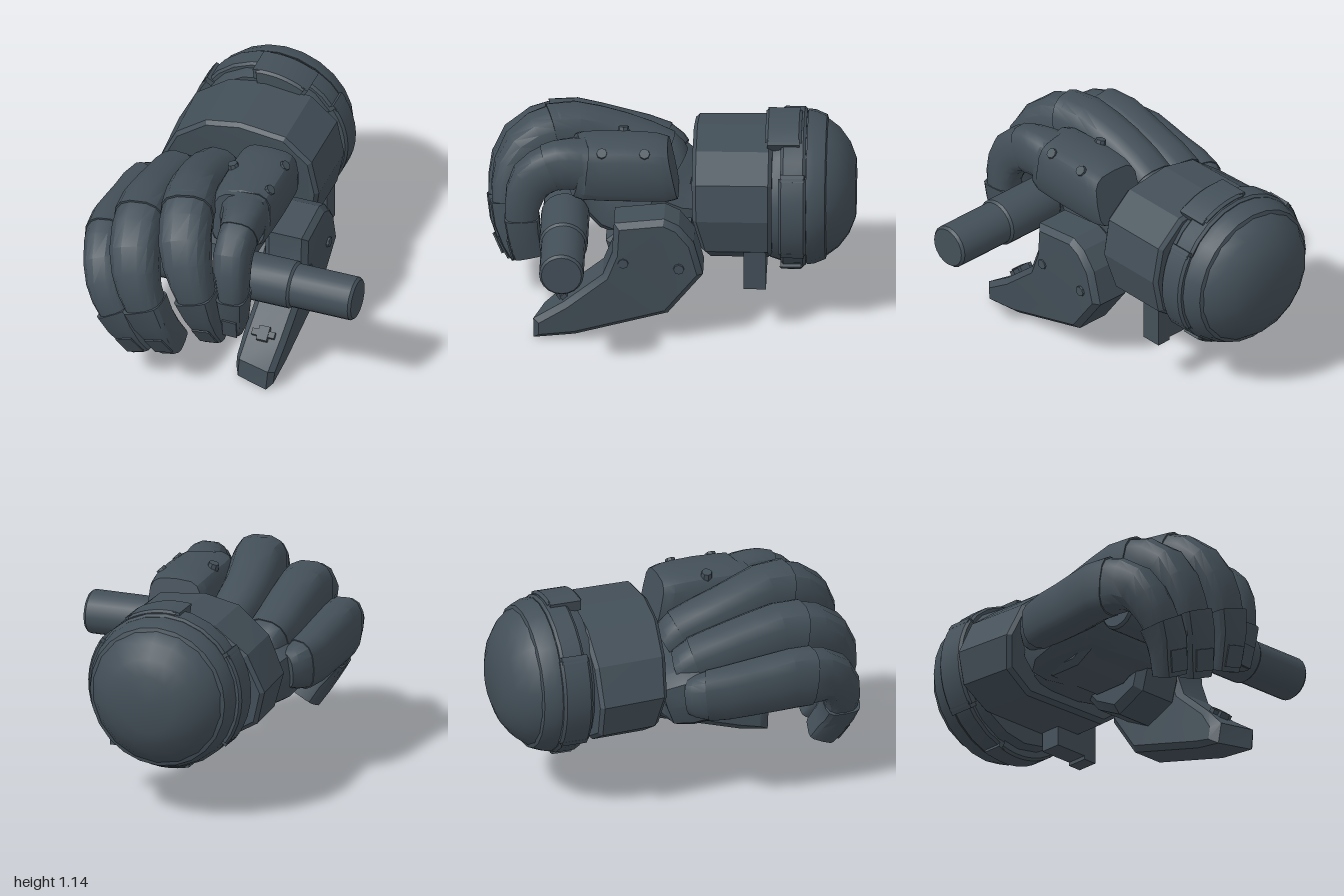
import * as THREE from 'three';
import { toCreasedNormals } from 'three/addons/utils/BufferGeometryUtils.js';

const steel = new THREE.MeshStandardMaterial({ color: 0x434f58 });
steel.name = 'dark slate armour';

function add(parent, name, geo, crease = 0.6) {
  const m = new THREE.Mesh(toCreasedNormals(geo, crease), steel);
  m.name = name;
  parent.add(m);
  return m;
}

// Frame on a path of stations [x, y, z, halfWidth, halfThickness]
function makePath(st) {
  const line = new THREE.CatmullRomCurve3(st.map(s => new THREE.Vector3(s[0], s[1], s[2])));
  const size = new THREE.CatmullRomCurve3(st.map(s => new THREE.Vector3(s[3], s[4], 0)));
  return u => {
    const c = line.getPoint(u), T = line.getTangent(u), sz = size.getPoint(u);
    const S = new THREE.Vector3(1, 0, 0).addScaledVector(T, -T.x).normalize();
    const N = new THREE.Vector3().crossVectors(T, S);
    return { c, T, S, N, w: sz.x, t: sz.y };
  };
}

// Closed tube of rounded-box cross-sections between two positions on a path
function loft(path, rows, u0 = 0, u1 = 1, grow = 1, power = 0.75, sides = 14) {
  const pos = [], idx = [];
  for (let i = 0; i <= rows; i++) {
    const f = path(u0 + (u1 - u0) * i / rows);
    for (let j = 0; j < sides; j++) {
      const a = j / sides * Math.PI * 2, c = Math.cos(a), s = Math.sin(a);
      const p = f.c.clone()
        .addScaledVector(f.S, f.w * grow * Math.sign(c) * Math.abs(c) ** power)
        .addScaledVector(f.N, f.t * grow * Math.sign(s) * Math.abs(s) ** power);
      pos.push(p.x, p.y, p.z);
    }
  }
  for (let i = 0; i < rows; i++) for (let j = 0; j < sides; j++) {
    const k = (j + 1) % sides, a = i * sides, b = a + sides;
    idx.push(a + j, a + k, b + k, a + j, b + k, b + j);
  }
  const a = path(u0).c, b = path(u1).c, n = pos.length / 3, last = rows * sides;
  pos.push(a.x, a.y, a.z, b.x, b.y, b.z);
  for (let j = 0; j < sides; j++) {
    const k = (j + 1) % sides;
    idx.push(n, k, j, n + 1, last + j, last + k);
  }
  const g = new THREE.BufferGeometry();
  g.setAttribute('position', new THREE.Float32BufferAttribute(pos, 3));
  g.setIndex(idx);
  return g;
}

function extrude(pts, depth, bevel) {
  const shape = new THREE.Shape(pts.map(p => new THREE.Vector2(p[0], p[1])));
  return new THREE.ExtrudeGeometry(shape, {
    depth: depth - 2 * bevel, bevelEnabled: true, bevelSize: bevel,
    bevelThickness: bevel, bevelOffset: -bevel, bevelSegments: 1
  }).translate(0, 0, bevel);
}

// Side profile given as [z, y], swept from x0 to x1
const sideExtrude = (pts, x0, x1, bevel) =>
  extrude(pts, x1 - x0, bevel).rotateY(-Math.PI / 2).translate(x1, 0, 0);

// Move the corners of a geometry by a rule
function warp(geo, rule) {
  const p = geo.attributes.position, v = new THREE.Vector3();
  for (let i = 0; i < p.count; i++) {
    rule(v.fromBufferAttribute(p, i));
    p.setXYZ(i, v.x, v.y, v.z);
  }
  return geo;
}

// Turned profile given as [radius, distance backwards] around the forearm axis, angle 0 at the top
function turned(pts, start = 0, length = Math.PI * 2, segs = 24) {
  const g = new THREE.LatheGeometry(pts.map(p => new THREE.Vector2(p[0], p[1])), segs, start, length);
  return g.rotateX(-Math.PI / 2).translate(-0.17, 0.69, 0);
}

function bolt(parent, x, y, z, dir) {
  const m = add(parent, 'bolt', new THREE.CylinderGeometry(0.028, 0.036, 0.05, 8));
  m.quaternion.setFromUnitVectors(new THREE.Vector3(0, 1, 0), new THREE.Vector3(...dir).normalize());
  m.position.set(x, y, z);
}

const FINGERS = {
  littleFinger: [[-.58, .64, -.02, .09, .1], [-.64, .65, .06, .1, .135], [-.655, .67, .33, .108, .15], [-.66, .69, .60, .108, .16],
    [-.61, .64, .775, .105, .13], [-.54, .50, .85, .1, .1], [-.455, .35, .85, .09, .085], [-.375, .20, .79, .075, .075]],
  ringFinger: [[-.43, .71, -.03, .12, .11], [-.46, .75, .06, .125, .15], [-.465, .82, .33, .128, .16], [-.46, .865, .60, .135, .165],
    [-.42, .79, .80, .135, .14], [-.36, .61, .885, .115, .105], [-.28, .42, .88, .1, .085], [-.2, .245, .80, .075, .075]],
  middleFinger: [[-.23, .77, -.03, .12, .11], [-.24, .82, .05, .125, .15], [-.24, .92, .33, .13, .16], [-.19, .98, .6, .14, .165],
    [-.14, .90, .78, .14, .14], [-.07, .72, .86, .115, .105], [-.01, .53, .85, .09, .085], [.035, .37, .77, .072, .08]],
  indexFinger: [[.06, .92, .3, .14, .14], [.07, .93, .42, .14, .14], [.10, .95, .53, .115, .13], [.115, .94, .62, .1, .13],
    [.12, .86, .74, .1, .12], [.14, .71, .79, .085, .095], [.145, .55, .78, .07, .085], [.14, .42, .75, .055, .08]]
};

export function createModel() {
  const root = new THREE.Group();
  root.name = 'armouredFist';

  // Fingers with a sleeve up to the knuckle, a fingertip sleeve and a nail plate
  for (const [name, stations] of Object.entries(FINGERS)) {
    const finger = new THREE.Group();
    finger.name = name;
    root.add(finger);
    const path = makePath(stations);
    add(finger, 'fingerBody', loft(path, 14));
    add(finger, 'knuckleSleeve', loft(path, 5, 0.14, 0.45, 1.04));
    add(finger, 'fingertipSleeve', loft(path, 3, 0.77, 1, 1.06, 0.5));
    const f = path(0.93);
    const nail = add(finger, 'nailPlate', new THREE.BoxGeometry(f.w * 1.3, 0.009, 0.12));
    nail.quaternion.setFromRotationMatrix(new THREE.Matrix4().makeBasis(f.S, f.N, f.T));
    nail.position.copy(f.c).addScaledVector(f.N, f.t * 1.06 + 0.003);
  }

  // Squared base of the index finger, cut at a slant behind, with its bolts
  add(root, 'indexKnuckleBlock', warp(loft(makePath([[.06, .915, -.02, .15, .15], [.06, .915, .04, .165, .165],
    [.06, .92, .25, .17, .17], [.06, .92, .46, .165, .165], [.07, .93, .51, .145, .15]]), 8, 0, 1, 1, 0.55, 16), v => {
    if (v.z < .1) v.z += (v.y - .92) * .2;
  }), 0.5);
  bolt(root, -.06, 1.07, .25, [-.3, 1, 0]);
  bolt(root, .18, 1.05, .13, [.7, .7, 0]);
  bolt(root, .18, 1.05, .36, [.7, .7, 0]);
  bolt(root, -.62, .62, .12, [-1, 0, 0]);

  // Hand body narrowing into the wrist
  add(root, 'handBody', loft(makePath([[-.2, .58, -.2, .24, .12], [-.2, .58, -.1, .3, .15],
    [-.24, .62, .04, .4, .2], [-.28, .67, .3, .37, .2], [-.28, .74, .44, .34, .12]]), 8, 0, 1, 1, 0.6, 14), 0.5);
  add(root, 'palmPad', sideExtrude([[-.12, .62], [.2, .62], [.34, .5], [.3, .36], [.12, .28], [-.04, .36], [-.14, .48]],
    -.14, .16, .04), 0.4);
  add(root, 'palmPlate', sideExtrude([[-.06, .6], [.28, .6], [.34, .5], [.2, .42], [0, .42]], -.52, -.12, .03), 0.4);

  // Thumb armour, leaning inwards towards a tip that is cut back on its inner side
  const thumb = new THREE.Group();
  thumb.name = 'thumb';
  root.add(thumb);
  add(thumb, 'thumbArmour', warp(sideExtrude([[.29, .72], [.02, .75], [-.06, .71], [-.14, .61], [-.19, .42],
    [0, .17], [.5, .025], [.725, 0], [.725, .12], [.56, .23], [.35, .41], [.3, .54]], .13, .375, .03), v => {
    v.x -= Math.max(0, 0.42 - v.y) * 0.1;
    if (v.z > .65) v.z -= Math.max(0, .2 - v.x) * .8;
  }), 0.4);
  bolt(thumb, .355, .49, .24, [1, 0, 0]);
  bolt(thumb, .355, .46, -.06, [1, 0, 0]);
  // Small clip on the upper slope of the thumb
  for (const [w, l, h] of [[.13, .035, .03], [.06, .08, .04]]) {
    const clip = add(thumb, 'thumbClip', new THREE.BoxGeometry(w, h, l));
    clip.position.set(.23, .24, .56);
    clip.rotation.x = 0.65;
  }

  // Gripped bar with a thicker collar
  for (const [name, r, x0, x1] of [['gripBar', .12, -.55, .77], ['gripCollar', .131, .05, .42]]) {
    const profile = [[0, x0], [r - .012, x0], [r, x0 + .015], [r, x1 - .015], [r - .012, x1], [0, x1]];
    const g = new THREE.LatheGeometry(profile.map(p => new THREE.Vector2(...p)), 20).rotateZ(-Math.PI / 2);
    add(root, name, g).position.set(0, .62, .56);
  }

  // Faceted wrist cuff, its front edge raked back at the bottom and drawn in a little
  const cuffOutline = [[.24, .9], [.09, 1.03], [-.17, 1.06], [-.38, 1.02], [-.57, .88], [-.67, .68], [-.63, .5],
    [-.46, .4], [.1, .4], [.24, .5], [.28, .7]];
  add(root, 'wristCuff', warp(extrude(cuffOutline, .43, .02), v => {
    if (v.z > .3) {
      if (v.x < -.17) v.x += (-.17 - v.x) * .05;
      v.z -= Math.max(0, .72 - v.y) * .25 + Math.max(0, -.3 - v.x) * .1;
    }
  }).translate(0, 0, -.555), 0.3);
  add(root, 'cuffLatch', new THREE.BoxGeometry(.08, .43, .12)).position.set(.19, .485, -.465);
  add(root, 'cuffLowerLatch', new THREE.BoxGeometry(.2, .14, .12)).position.set(.05, .36, -.465);

  // Rounded forearm end
  add(root, 'forearmDome', turned([[0, .54], [.385, .54], [.405, .6], [.415, .7], [.405, .78], [.37, .85],
    [.325, .91], [.25, .965], [.16, 1], [0, 1]], 0, Math.PI * 2, 18), 0.5);
  // Bands and clasp plates around the forearm
  const ring = (r0, r1, z0, z1) => [[r0, z0], [r1 - .012, z0], [r1, z0 + .015], [r1, z1 - .015], [r1 - .012, z1], [r0, z1]];
  add(root, 'rearBand', turned([[.36, .74], [.42, .74], [.415, .78], [.39, .84], [.36, .85]]));
  add(root, 'mainBand', turned(ring(.36, .432, .6, .735)));
  for (const [start, length, z0, z1] of [[-.12, .65, .515, .71], [1.0, 1.1, .59, .74], [2.5, .9, .59, .72], [4.1, 1.2, .58, .745]]) {
    add(root, 'bandClasp', turned([...ring(.36, .446, z0, z1), [.36, z0]], start, length, 8));
    for (const a of [start, start + length]) {
      const end = add(root, 'claspEnd', new THREE.BoxGeometry(.04, .06, z1 - z0 - .02));
      end.position.set(-.17 + Math.sin(a) * .415, .69 + Math.cos(a) * .415, -(z0 + z1) / 2);
      end.rotation.z = -a;
    }
  }
  return root;
}
